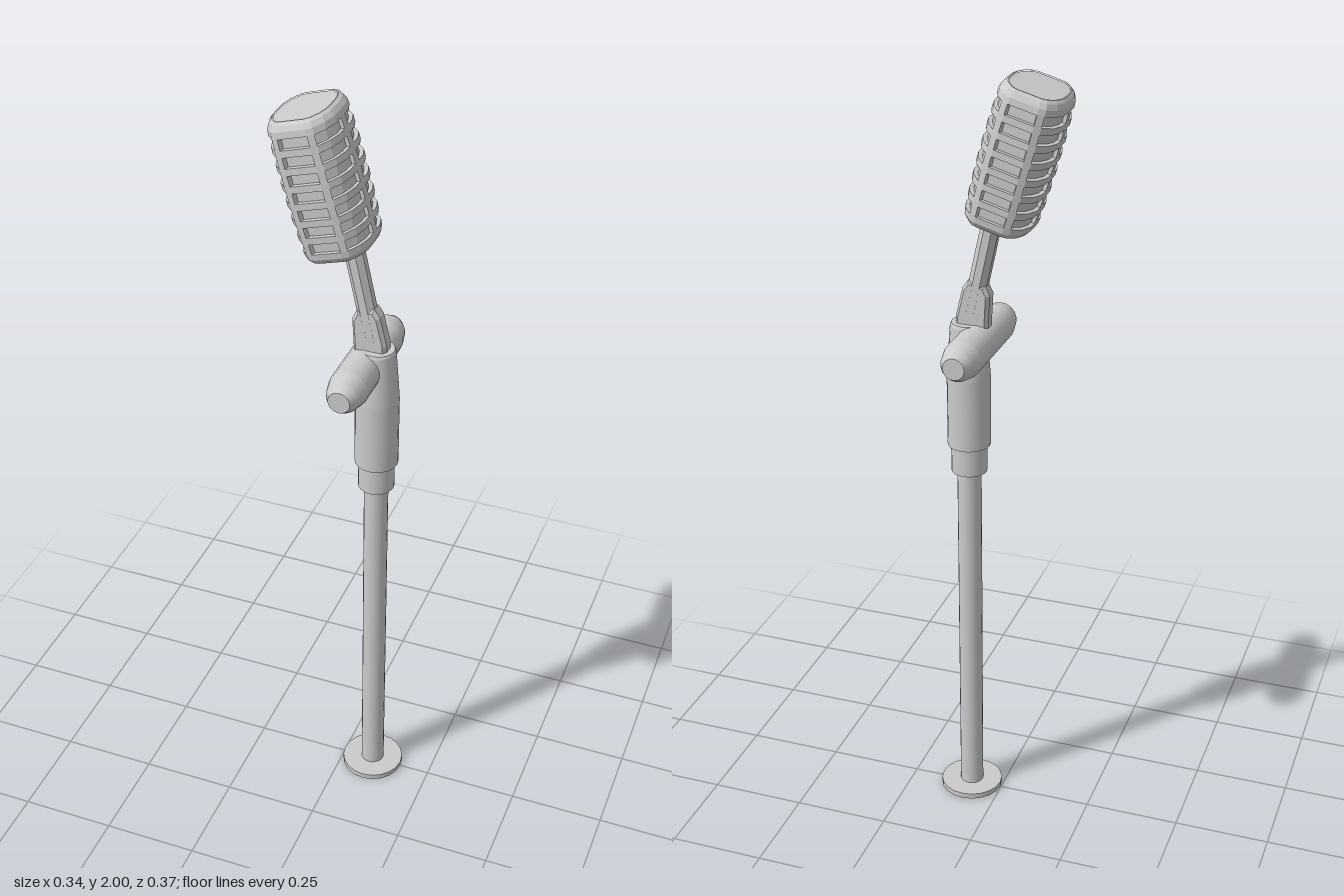
import * as THREE from 'three';

const grey = (flat = false) => new THREE.MeshStandardMaterial({ color: 0xcccccc, flatShading: flat });

// Solid of revolution from [radius, height] pairs; corners are doubled to stay sharp
function turned(name, profile, sides) {
  const group = new THREE.Group();
  group.name = name;
  for (let i = 0; i < profile.length - 1; i++) {
    const pts = [profile[i], profile[i + 1]].map(([r, y]) => new THREE.Vector2(r, y));
    group.add(new THREE.Mesh(new THREE.LatheGeometry(pts, sides), grey()));
  }
  group.children.forEach((m) => { m.name = name + 'Surface'; });
  return group;
}

// Slotted capsule: rings of a rounded octagon, with the slot cells pushed inward
function headGeometry() {
  const corner = [[0.038, 0.106], [0.055, 0.1], [0.076, 0.073], [0.087, 0.04], [0.088, 0.012]];
  const back = corner.map(([x, z]) => [x, -z]).reverse();
  const half = [...corner, ...back];
  const outline = [...half, ...half.map(([x, z]) => [-x, -z])];
  const n = outline.length;
  // Segments that carry slots: wrapped side columns, then the front and back faces
  const slotted = (i) => [1, 2, 3, 5, 6, 7, 9].includes(i % 10);

  const rows = 7, pitch = 0.043, slotHeight = 0.026;
  const rings = [[-0.177, 0.72], [-0.171, 0.84], [-0.158, 0.94]];
  const first = rings.length;
  for (let r = 0; r < rows; r++) {
    const mid = (r - (rows - 1) / 2) * pitch;
    for (const y of [mid - slotHeight / 2, mid + slotHeight / 2]) {
      rings.push([y, 1 - 0.045 * (y / 0.15) ** 2]);
    }
  }
  rings.push([0.158, 0.94], [0.17, 0.87], [0.176, 0.79]);
  const isSlot = (i, j) => slotted((i + n) % n) && j >= first && j < first + rows * 2 && (j - first) % 2 === 0;

  const pos = [];
  const point = (i, j, inset = 1) => {
    const [x, z] = outline[(i + n) % n];
    const [y, s] = rings[j];
    return [x * s * inset, y, z * s * inset];
  };
  const quad = (a, b, c, d) => pos.push(...a, ...b, ...c, ...a, ...c, ...d);
  for (let j = 0; j < rings.length - 1; j++) {
    for (let i = 0; i < n; i++) {
      const cell = [[i, j], [i + 1, j], [i + 1, j + 1], [i, j + 1]];
      const outer = cell.map(([a, b]) => point(a, b));
      if (!isSlot(i, j)) { quad(...outer); continue; }
      const inner = cell.map(([a, b]) => point(a, b, 0.89));
      quad(...inner);
      const neighbours = [[i, j - 1], [i + 1, j], [i, j + 1], [i - 1, j]];
      neighbours.forEach(([a, b], k) => {
        const m = (k + 1) % 4;
        if (!isSlot(a, b)) quad(outer[k], outer[m], inner[m], inner[k]);
      });
    }
  }
  // End caps, the top one slightly sunk inside its rim
  const top = rings.length - 1;
  for (let i = 0; i < n; i++) {
    const a = point(i, top, 0.96), b = point(i + 1, top, 0.96);
    quad(point(i, top), point(i + 1, top), b, a);
    a[1] = b[1] = rings[top][0] - 0.002;
    pos.push(...a, ...b, 0, a[1], 0);
    pos.push(...point(i + 1, 0), ...point(i, 0), 0, rings[0][0], 0);
  }
  const geo = new THREE.BufferGeometry();
  geo.setAttribute('position', new THREE.Float32BufferAttribute(pos, 3));
  geo.computeVertexNormals();
  return geo;
}

export function createModel() {
  const model = new THREE.Group();
  model.name = 'microphoneOnStand';
  const axis = 0.085;

  // Stand: foot disc, pole, collar and tapered sleeve
  const stand = new THREE.Group();
  stand.name = 'stand';
  stand.position.x = axis;
  stand.add(
    turned('foot', [[0, 0], [0.083, 0], [0.083, 0.015], [0, 0.015]], 20),
    turned('pole', [[0.031, 0.01], [0.031, 0.99]], 20),
    turned('collar', [[0.025, 0.975], [0.046, 0.975], [0.046, 1.06]], 20),
    turned('sleeve', [[0.04, 1.05], [0.055, 1.05], [0.055, 1.24], [0.045, 1.375], [0.042, 1.382], [0, 1.382]], 20),
  );
  model.add(stand);

  // Clamp handle lying front to back
  const handle = turned('clampHandle', [[0, -0.187], [0.028, -0.187], [0.041, -0.165], [0.05, -0.125],
    [0.05, 0.125], [0.041, 0.165], [0.028, 0.187], [0, 0.187]], 18);
  handle.rotation.x = Math.PI / 2;
  handle.position.set(0.056, 1.333, 0);
  model.add(handle);

  // Swivel bracket at the foot of the arm
  const shape = new THREE.Shape([[0.03, 1.35], [0.112, 1.35], [0.112, 1.4], [0.094, 1.475], [0.08, 1.495],
    [0.036, 1.485], [0.024, 1.46]].map(([x, y]) => new THREE.Vector2(x, y)));
  const bracketGeo = new THREE.ExtrudeGeometry(shape, {
    depth: 0.026, bevelSize: 0.008, bevelOffset: -0.008, bevelThickness: 0.01, bevelSegments: 1,
  });
  const bracket = new THREE.Mesh(bracketGeo.translate(0, 0, -0.013), grey(true));
  bracket.name = 'swivelBracket';
  model.add(bracket);

  // Eight-sided arm leaning up to the head
  const from = new THREE.Vector3(0.075, 1.4, 0), to = new THREE.Vector3(0.017, 1.67, 0);
  const dir = to.clone().sub(from);
  const armGeo = new THREE.CylinderGeometry(0.025, 0.025, dir.length(), 8);
  const arm = new THREE.Mesh(armGeo.rotateY(Math.PI / 8), grey(true));
  arm.name = 'arm';
  arm.position.copy(from).lerp(to, 0.5);
  arm.quaternion.setFromUnitVectors(new THREE.Vector3(0, 1, 0), dir.normalize());
  model.add(arm);

  // Slotted head, tilted back
  const head = new THREE.Mesh(headGeometry(), grey(true));
  head.name = 'slottedHead';
  head.position.set(-0.044, 1.813, 0.005);
  head.rotation.z = 0.28;
  model.add(head);

  return model;
}
